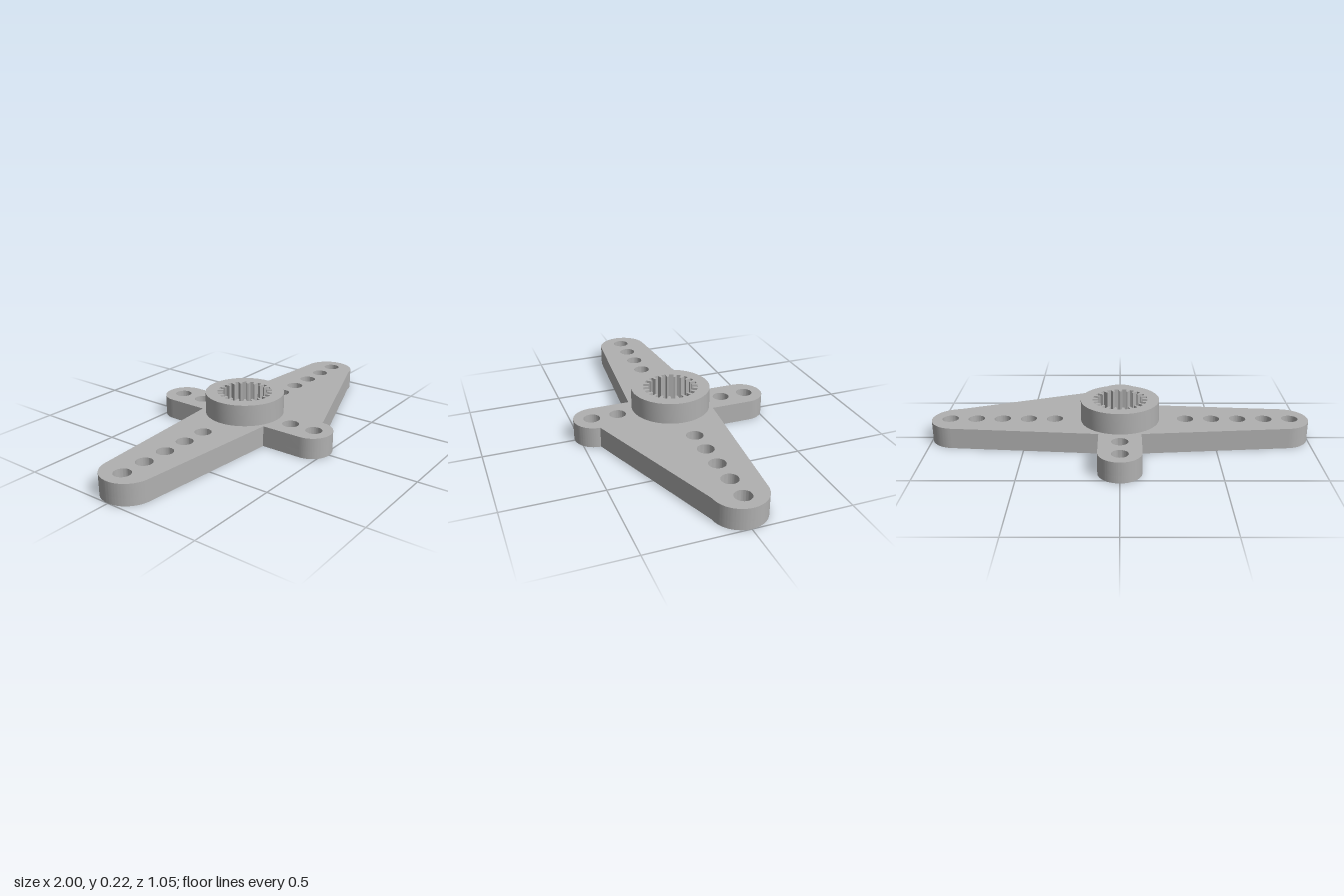
import * as THREE from 'three';
import { toCreasedNormals } from 'three/addons/utils/BufferGeometryUtils.js';

const FLOOR = 0.04, PLATE_TOP = 0.11, HUB_TOP = 0.222;
const TEETH = 21, ROOT = 0.145, CREST = 0.116;

const circle = (r, x = 0, y = 0) => new THREE.Path().absarc(x, y, r, 0, Math.PI * 2, true);

// Toothed socket outline
function splinePath() {
  const pts = [];
  const step = (Math.PI * 2) / TEETH;
  for (let i = 0; i < TEETH; i++) {
    for (const [f, r] of [[-0.32, ROOT], [0.2, ROOT], [0.3, CREST], [0.58, CREST]]) {
      const a = Math.PI / 2 + (i + f) * step;
      pts.push(new THREE.Vector2(Math.cos(a) * r, Math.sin(a) * r));
    }
  }
  return new THREE.Path(pts);
}

// Cross outline: two long tapered arms and two short straight arms
function armsShape() {
  const s = new THREE.Shape();
  const tilt = 0.085, w = 0.11, root = 0.2, longC = 0.865, longR = 0.135, shortC = 0.417;
  const q = Math.PI / 2;
  s.moveTo(w, -root);
  s.absarc(longC, 0, longR, -q + tilt, q - tilt, false);
  s.lineTo(w, root);
  s.absarc(0, shortC, w, 0, Math.PI, false);
  s.lineTo(-w, root);
  s.absarc(-longC, 0, longR, q + tilt, 3 * q - tilt, false);
  s.lineTo(-w, -root);
  s.absarc(0, -shortC, w, Math.PI, Math.PI * 2, false);
  s.closePath();
  // Mounting holes
  for (const side of [-1, 1]) {
    for (let i = 0; i < 5; i++) s.holes.push(circle(0.043, side * (0.347 + i * 0.139), 0));
    for (let i = 0; i < 2; i++) s.holes.push(circle(0.043, 0, side * (0.293 + i * 0.139)));
  }
  return s;
}

export function createModel() {
  const group = new THREE.Group();
  const plastic = new THREE.MeshStandardMaterial({ color: 0xb0b0b0 });
  plastic.name = 'grey plastic';

  const addLayer = (name, shape, hole, y0, y1) => {
    shape.holes.push(hole);
    const geo = new THREE.ExtrudeGeometry(shape, { depth: y1 - y0, bevelEnabled: false, curveSegments: 32 });
    geo.rotateX(-Math.PI / 2);
    geo.translate(0, y0, 0);
    const mesh = new THREE.Mesh(toCreasedNormals(geo, 0.4), plastic);
    mesh.name = name;
    group.add(mesh);
  };

  // Bottom layer has the narrow screw bore, upper layers the toothed socket
  addLayer('armsBase', armsShape(), circle(0.07), 0, FLOOR);
  addLayer('armsTop', armsShape(), splinePath(), FLOOR, PLATE_TOP);
  const hub = new THREE.Shape().absarc(0, 0, 0.207, 0, Math.PI * 2, false);
  addLayer('hub', hub, splinePath(), PLATE_TOP, HUB_TOP);

  group.name = 'servoHorn';
  return group;
}
